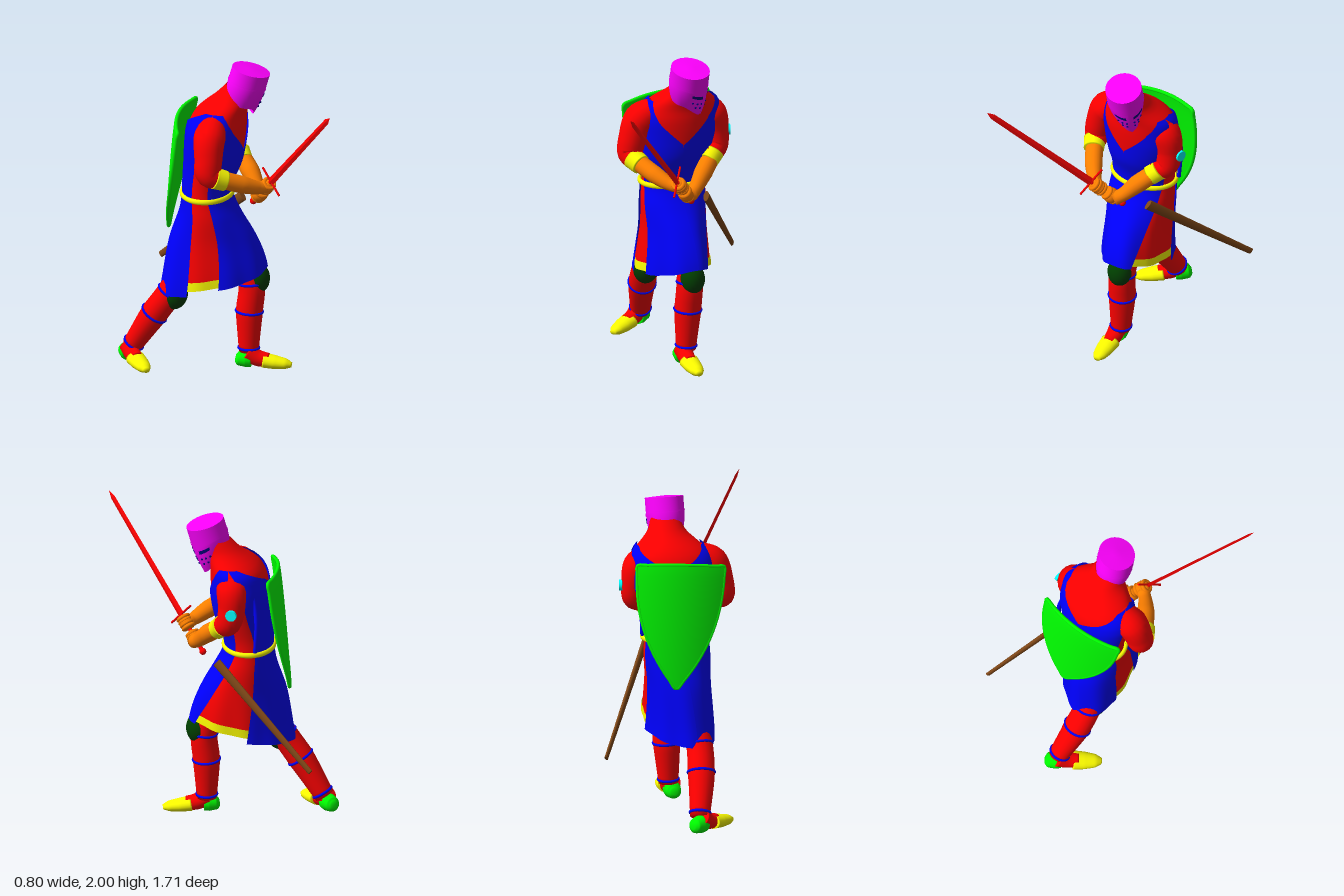
import * as THREE from 'three';
import { mergeVertices } from 'three/addons/utils/BufferGeometryUtils.js';

const RED = 0xff0000, BLUE = 0x0000ff, GREEN = 0x00ff00, YELLOW = 0xffff00, ORANGE = 0xff8000;
const PURPLE = 0xff00ff, BROWN = 0x804818, DARKGREEN = 0x004000, CYAN = 0x00ffff, NAVY = 0x000080;
const V = (x, y, z) => new THREE.Vector3(x, y, z);
const lerp = THREE.MathUtils.lerp, clamp = THREE.MathUtils.clamp, rad = THREE.MathUtils.degToRad;

export function createModel() {
  const model = new THREE.Group();

  function add(name, geometry, color, parent = model, flatShading = false) {
    const mesh = new THREE.Mesh(geometry, new THREE.MeshStandardMaterial({ color, flatShading, side: THREE.DoubleSide }));
    mesh.name = name;
    parent.add(mesh);
    return mesh;
  }
  // Smooth surface from a rule fn(u, v) -> point
  function surface(name, fn, nu, nv, color, parent) {
    const pos = [], index = [];
    for (let j = 0; j <= nv; j++) for (let i = 0; i <= nu; i++) pos.push(...fn(i / nu, j / nv).toArray());
    for (let j = 0; j < nv; j++) for (let i = 0; i < nu; i++) {
      const a = j * (nu + 1) + i, b = a + 1, c = a + nu + 1, d = c + 1;
      index.push(a, b, c, b, d, c);
    }
    let geo = new THREE.BufferGeometry();
    geo.setAttribute('position', new THREE.Float32BufferAttribute(pos, 3));
    geo.setIndex(index);
    geo = mergeVertices(geo, 1e-4);
    geo.computeVertexNormals();
    return add(name, geo, color, parent);
  }
  // Round limb through [x, y, z, radius] stations, closed at both ends
  function limb(name, stations, color, parent) {
    const curve = new THREE.CatmullRomCurve3(stations.map(s => V(s[0], s[1], s[2])));
    const n = stations.length * 5, frames = curve.computeFrenetFrames(n, false);
    return surface(name, (u, v) => {
      const row = Math.round(v * (n + 2)) - 1, j = clamp(row, 0, n);
      const t = curve.getUtoTmapping(j / n), k = t * (stations.length - 1);
      const i = Math.min(Math.floor(k), stations.length - 2);
      const r = row === j ? lerp(stations[i][3], stations[i + 1][3], k - i) : 0;
      const a = u * Math.PI * 2;
      return curve.getPoint(t).addScaledVector(frames.normals[j], r * Math.cos(a))
        .addScaledVector(frames.binormals[j], r * Math.sin(a));
    }, 20, n + 2, color, parent);
  }
  // Group with given up axis and approximate forward axis
  function oriented(name, position, up, forward) {
    const g = new THREE.Group(), y = up.clone().normalize();
    const x = y.clone().cross(forward).normalize(), z = x.clone().cross(y);
    g.quaternion.setFromRotationMatrix(new THREE.Matrix4().makeBasis(x, y, z));
    g.position.copy(position);
    g.name = name;
    model.add(g);
    return g;
  }
  const table = (rows, Kind = THREE.LinearInterpolant) => {
    const size = rows[0].length - 1;
    const f = new Kind(rows.map(r => r[0]), rows.flatMap(r => r.slice(1)), size, new Float32Array(size));
    return y => f.evaluate(y);
  };

  // Tunic cross-sections: height, centre x, centre z, half width, half depth, hem tilt, yaw
  const sections = table([
    [0.48, 0.05, -0.17, 0.205, 0.285, 0.05, 45], [0.62, 0.05, -0.17, 0.2, 0.275, 0.05, 45],
    [0.85, 0.05, -0.185, 0.196, 0.237, 0.01, 42], [1.02, 0.045, -0.2, 0.207, 0.178, 0, 38],
    [1.14, 0.04, -0.215, 0.203, 0.146, 0, 35], [1.22, 0.045, -0.21, 0.206, 0.15, 0, 33],
    [1.35, 0.065, -0.19, 0.225, 0.17, 0, 30], [1.5, 0.08, -0.18, 0.25, 0.178, 0, 28],
    [1.6, 0.085, -0.17, 0.25, 0.175, 0, 28], [1.68, 0.105, -0.16, 0.225, 0.158, 0, 28],
    [1.73, 0.125, -0.135, 0.172, 0.14, 0, 28], [1.78, 0.15, -0.105, 0.12, 0.115, 0, 28],
    [1.86, 0.18, -0.06, 0.09, 0.09, 0, 28]], THREE.CubicInterpolant);
  // Point on the tunic; the cloth bulges over both knees and ripples toward the hem
  function body(angle, y, off = 0) {
    const [cx, cz, a, b, tilt, degrees] = sections(y);
    const yaw = rad(degrees), low = clamp((1.05 - y) / 0.5, 0, 1);
    const front = low * Math.exp(5 * (Math.cos(angle) - 1));
    const back = low * Math.exp(5 * (Math.cos(angle + 3) - 1));
    const out = off + 0.045 * front + 0.045 * back + 0.005 * low * Math.sin(9 * angle);
    const s = (a + out) * Math.sin(angle), c = (b + out) * Math.cos(angle);
    return V(cx + s * Math.cos(yaw) + c * Math.sin(yaw),
      y + tilt * Math.cos(angle) + 0.04 * front + (y > 1.6 ? off * 0.7 : 0),
      cz - s * Math.sin(yaw) + c * Math.cos(yaw));
  }
  const band = (name, y0, y1, off, color, rows) =>
    surface(name, (u, v) => body(u * Math.PI * 2, lerp(y0, y1, v), off), 64, rows, color);
  band('tunic', 0.58, 1.86, 0, RED, 50);
  band('tunicHem', 0.575, 0.63, 0.006, YELLOW, 3);
  surface('belt', (u, v) => {
    const a = v * Math.PI * 2;
    return body(u * Math.PI * 2, 1.145 + 0.017 * Math.sin(a), 0.012 + 0.013 * Math.cos(a));
  }, 64, 10, YELLOW);

  // Surcoat: front and back panels, each in two halves that part at the neck
  const shoulder = [[1.6, 75], [1.71, 90]];
  const frontNeck = table([[0.5, 0], [1.44, 0], [1.68, 55], [1.71, 70]]);
  const backNeck = table([[0.5, 0], [1.58, 0], [1.68, 50], [1.71, 70]]);
  const panels = [
    ['surcoatFrontLeft', 0, 1, 0.56, frontNeck, [[0.5, 14], [1.1, 55], [1.3, 73], ...shoulder]],
    ['surcoatFrontRight', 0, -1, 0.56, frontNeck, [[0.5, 85], [1.1, 74], [1.3, 75], ...shoulder]],
    ['surcoatBackLeft', 180, -1, 0.54, backNeck, [[0.5, 92], [1.1, 75], [1.3, 70], ...shoulder]],
    ['surcoatBackRight', 180, 1, 0.54, backNeck, [[0.5, 55], [1.1, 66], [1.3, 70], ...shoulder]]];
  for (const [name, middle, side, bottom, neck, edge] of panels) {
    const outer = table(edge);
    surface(name, (u, v) => {
      const y = lerp(bottom, 1.71, v);
      return body(rad(middle + side * lerp(neck(y)[0], outer(y)[0], u)), y, 0.011);
    }, 20, 60, BLUE);
  }

  // Arms
  limb('leftSleeve', [[0.17, 1.63, -0.2, 0.07], [0.27, 1.585, -0.255, 0.1], [0.295, 1.47, -0.27, 0.086],
    [0.305, 1.37, -0.25, 0.078], [0.29, 1.33, -0.18, 0.062]], RED);
  limb('rightSleeve', [[-0.03, 1.64, -0.08, 0.08], [-0.12, 1.59, -0.03, 0.1], [-0.16, 1.47, 0, 0.088],
    [-0.17, 1.37, 0.015, 0.082], [-0.12, 1.335, 0.055, 0.064]], RED);
  limb('leftCuff', [[0.305, 1.345, -0.205, 0.068], [0.285, 1.3, -0.15, 0.063]], YELLOW);
  limb('rightCuff', [[-0.15, 1.348, 0.04, 0.07], [-0.085, 1.32, 0.075, 0.064]], YELLOW);
  limb('leftForearm', [[0.3, 1.33, -0.19, 0.056], [0.275, 1.25, -0.07, 0.058], [0.25, 1.175, 0.02, 0.043],
    [0.235, 1.15, 0.07, 0.045]], ORANGE);
  limb('rightForearm', [[-0.13, 1.34, 0.05, 0.056], [0.02, 1.28, 0.12, 0.055], [0.13, 1.24, 0.155, 0.04],
    [0.18, 1.235, 0.16, 0.042]], ORANGE);
  const badge = add('armBadge', new THREE.CylinderGeometry(0.035, 0.035, 0.02, 20), CYAN);
  badge.position.set(0.37, 1.46, -0.32);
  badge.rotation.set(0, 0.35, -Math.PI / 2, 'YXZ');

  // Sword, with both fists on the grip
  const pommel = V(0.22, 1.09, 0.01), tip = V(0.062, 1.913, 0.856);
  const sword = oriented('sword', pommel, tip.clone().sub(pommel), V(0, 0.7, -0.7));
  const length = pommel.distanceTo(tip), guardY = 0.275;
  const blade = add('blade', new THREE.CylinderGeometry(0.018, 0.025, length - guardY - 0.05, 4), RED, sword, true);
  blade.position.y = (length + guardY - 0.05) / 2;
  const point = add('bladeTip', new THREE.ConeGeometry(0.018, 0.05, 4), RED, sword, true);
  point.position.y = length - 0.025;
  blade.scale.x = point.scale.x = 0.4;
  const guard = add('crossGuard', new THREE.CylinderGeometry(0.007, 0.007, 0.21, 8), RED, sword);
  guard.position.y = guardY;
  guard.rotation.x = Math.PI / 2;
  add('grip', new THREE.CylinderGeometry(0.013, 0.013, guardY, 10), RED, sword).position.y = guardY / 2;
  add('pommel', new THREE.SphereGeometry(0.022, 14, 10), RED, sword);
  for (const [name, y, size] of [['leftHand', 0.1, 0.05], ['rightHand', 0.215, 0.045]]) {
    const fist = add(name, new THREE.SphereGeometry(size, 18, 14), ORANGE, sword);
    fist.position.y = y;
    fist.scale.y = 1.15;
    for (let i = 0; i < 4; i++) {
      const finger = add(name + 'Finger', new THREE.TorusGeometry(0.034, 0.013, 8, 20), ORANGE, sword);
      finger.position.y = y - 0.033 + i * 0.022;
      finger.rotation.x = Math.PI / 2;
    }
  }

  // Scabbard
  const mouth = V(0.275, 1.07, -0.14), end = V(0.248, 0.495, -0.845);
  const scabbard = oriented('scabbard', mouth, end.clone().sub(mouth), V(0, 0.7, -0.6));
  const sheath = add('sheath', new THREE.CylinderGeometry(0.02, 0.034, mouth.distanceTo(end), 16), BROWN, scabbard);
  sheath.position.y = mouth.distanceTo(end) / 2;
  sheath.scale.x = 0.5;

  // Legs with straps and knee guards
  const legs = [
    ['left', [[0.14, 0.9, -0.17, 0.075], [0.21, 0.58, 0, 0.083], [0.195, 0.35, 0, 0.085], [0.185, 0.1, 0.005, 0.062]],
      [0.235, 0.578, 0.032], 0.5, [0.16, 0, 0.005], 38],
    ['right', [[0.03, 0.9, -0.2, 0.075], [-0.155, 0.52, -0.32, 0.083], [-0.22, 0.33, -0.43, 0.085], [-0.27, 0.1, -0.57, 0.062]],
      [-0.16, 0.485, -0.295], 0.2, [-0.28, 0, -0.595], -20]];
  for (const [side, stations, knee, kneeYaw, heel, footYaw] of legs) {
    limb(side + 'Leg', stations, RED);
    const curve = new THREE.CatmullRomCurve3(stations.map(s => V(s[0], s[1], s[2])));
    for (const [t, r] of [[0.38, 0.081], [0.65, 0.083], [0.97, 0.063]]) {
      const strap = add(side + 'LegStrap', new THREE.TorusGeometry(r, 0.009, 8, 28), BLUE);
      strap.position.copy(curve.getPoint(t));
      strap.quaternion.setFromUnitVectors(V(0, 0, 1), curve.getTangent(t));
    }
    const pad = add(side + 'KneeGuard', new THREE.SphereGeometry(1, 22, 16), DARKGREEN);
    pad.position.set(...knee);
    pad.scale.set(0.078, 0.1, 0.078);
    pad.rotation.set(side === 'right' ? 0.3 : 0, kneeYaw, 0, 'YXZ');

    const foot = new THREE.Group();
    foot.name = side + 'Foot';
    foot.position.set(...heel);
    foot.rotation.y = rad(footYaw);
    model.add(foot);
    limb('heel', [[0, 0.06, -0.064, 0.022], [0, 0.057, -0.048, 0.046], [0, 0.057, 0, 0.056], [0, 0.056, 0.035, 0.052]], GREEN, foot);
    limb('instep', [[0, 0.1, 0.01, 0.058], [0, 0.064, 0.07, 0.052], [0, 0.05, 0.14, 0.045]], RED, foot);
    const toe = limb('toe', [[0, 0.05, 0.11, 0.046], [0, 0.04, 0.18, 0.042], [0, 0.032, 0.25, 0.032],
      [0, 0.026, 0.288, 0.015]], YELLOW, foot);
    toe.scale.x = 1.35;
  }

  // Helmet: flat topped, tapering to a ridged chin
  const helmet = oriented('helmet', V(0.19, 1.838, -0.028), V(0.18, 1, 0.22), V(0.966, 0, 0.26));
  const helm = (angle, v, off = 0) => {
    const f = Math.max(0, Math.cos(angle)), low = Math.max(0, v - 0.4) / 0.6;
    const r = 0.124 - 0.024 * low * low + off;
    return V(r * 0.92 * Math.sin(angle) * (1 - 0.25 * low * f), 0.13 - v * (0.23 + 0.07 * f * f),
      r * Math.cos(angle) * (1 + 0.04 * low * f));
  };
  surface('helmetShell', (u, v) => helm(u * Math.PI * 2, 1 - v), 48, 20, PURPLE, helmet);
  surface('helmetTop', (u, v) => helm(u * Math.PI * 2, 0).multiply(V(1 - v, 1, 1 - v)).add(V(0, 0.008 * v, 0)), 48, 4, PURPLE, helmet);
  const plate = (name, a0, a1, v0, v1, off, color) =>
    surface(name, (u, v) => helm(rad(lerp(a0, a1, u)), lerp(v1, v0, v), off), 24, 3, color, helmet);
  plate('browBand', -180, 180, 0.36, 0.41, 0.003, PURPLE);
  plate('noseRidge', -4, 4, 0.36, 1, 0.005, PURPLE);
  for (const s of [-1, 1]) {
    plate('eyeSlit', s * 12, s * 50, 0.48, 0.56, 0.003, NAVY);
    for (const [a, v] of [[14, 0.68], [30, 0.7], [46, 0.72], [16, 0.8], [34, 0.82]]) {
      const hole = add('breathHole', new THREE.SphereGeometry(0.007, 8, 6), NAVY, helmet);
      hole.position.copy(helm(rad(s * a), v));
    }
  }

  // Shield on the back, curved both ways, with a rim
  const shield = new THREE.Group();
  shield.name = 'shield';
  shield.position.set(-0.04, 1.632, -0.325);
  shield.rotation.set(0, -2.557, -0.07, 'YXZ');
  model.add(shield);
  const shieldPoint = (s, h, off) => {
    const x = s * 0.275 * (1 - Math.pow(1 - h, 2.4));
    return V(x, -0.76 * (1 - h) + 0.02 * h * (1 - s * s),
      0.045 + 0.075 * Math.pow(1 - h, 0.8) - 0.05 * (x / 0.275) ** 2 + off);
  };
  surface('shieldFace', (u, v) => shieldPoint(u * 2 - 1, v, 0.01), 24, 24, GREEN, shield);
  surface('shieldInside', (u, v) => shieldPoint(1 - u * 2, v, -0.01), 24, 24, GREEN, shield);
  const rim = [];
  for (let i = 0; i <= 14; i++) rim.push(shieldPoint(-1, 1 - i / 14, 0));
  for (let i = 1; i <= 14; i++) rim.push(shieldPoint(1, i / 14, 0));
  for (let i = 1; i < 10; i++) rim.push(shieldPoint(1 - i / 5, 1, 0));
  add('shieldRim', new THREE.TubeGeometry(new THREE.CatmullRomCurve3(rim, true), 140, 0.012, 8, true), GREEN, shield);
  limb('shieldStrap', [[0.2, 1.64, -0.34, 0.014], [0.2, 1.4, -0.39, 0.014], [0.2, 1.17, -0.38, 0.012]], BLUE);

  return model;
}
